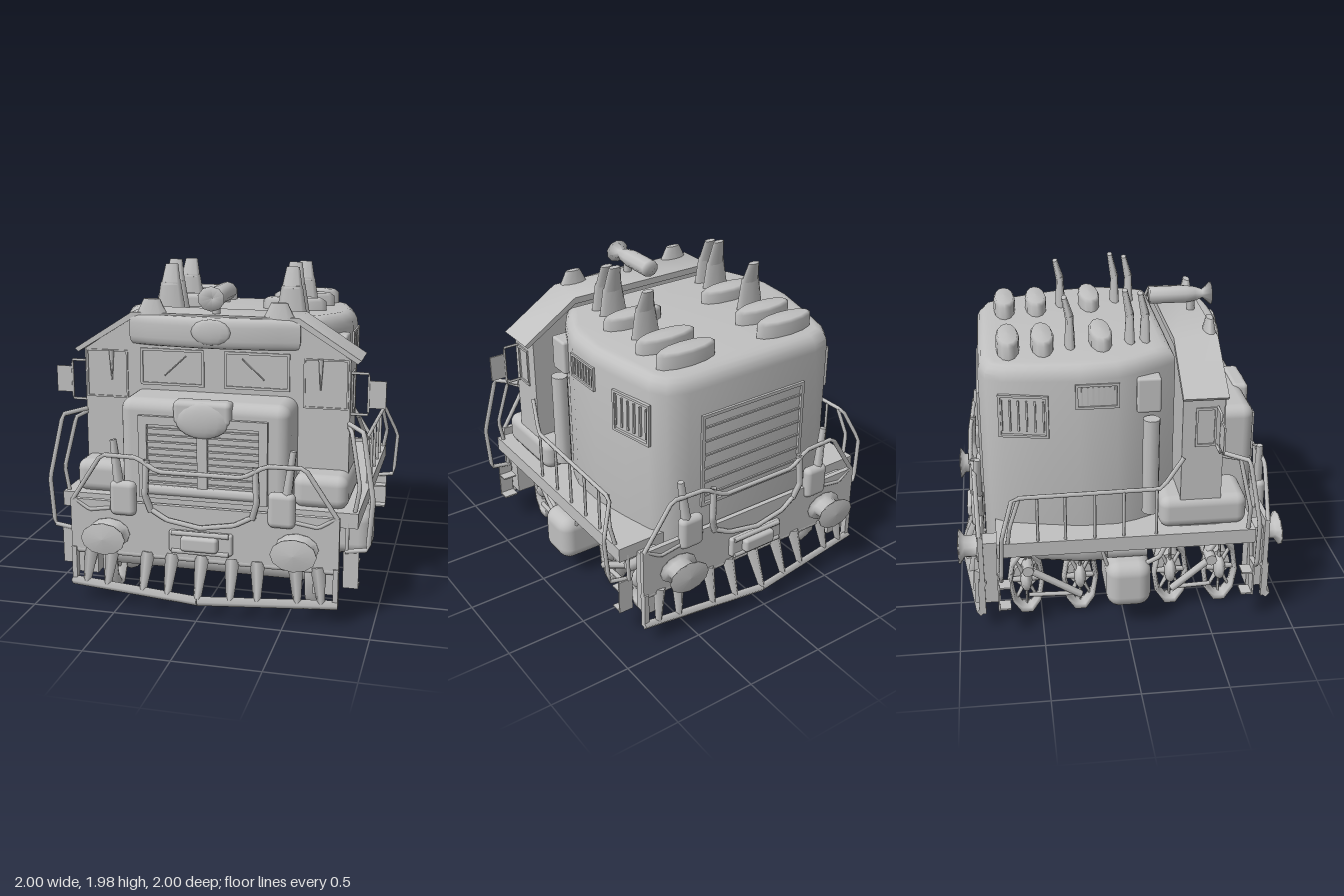
import * as THREE from 'three';
import { toCreasedNormals } from 'three/addons/utils/BufferGeometryUtils.js';
import { RoundedBoxGeometry } from 'three/addons/geometries/RoundedBoxGeometry.js';

const grey = new THREE.MeshStandardMaterial({ color: 0xc0c0c0, side: THREE.DoubleSide });
grey.name = 'plain grey';
const V = (x, y, z) => new THREE.Vector3(x, y, z);
const SIDES = [-1, 1];

function add(parent, name, geo, x = 0, y = 0, z = 0) {
  const m = new THREE.Mesh(geo, grey);
  m.name = name;
  m.position.set(x, y, z);
  parent.add(m);
  return m;
}
// boxes are given by their two extreme corners
function box(parent, name, a, b, round = 0) {
  const s = a.map((v, i) => Math.abs(b[i] - v)), c = a.map((v, i) => (v + b[i]) / 2);
  const geo = round ? new RoundedBoxGeometry(...s, 3, round) : new THREE.BoxGeometry(...s);
  return add(parent, name, geo, ...c);
}
// straight tapered bar between two points
function bar(parent, name, a, b, r1, r2 = r1, sides = 6) {
  const A = V(...a), B = V(...b), d = B.clone().sub(A);
  const m = add(parent, name, new THREE.CylinderGeometry(r2, r1, d.length(), sides));
  m.position.copy(A).add(B).multiplyScalar(0.5);
  m.quaternion.setFromUnitVectors(V(0, 1, 0), d.normalize());
  return m;
}
// bent rail through several points
function rail(parent, name, pts, r = 0.011) {
  const path = new THREE.CurvePath();
  for (let i = 1; i < pts.length; i++) path.add(new THREE.LineCurve3(V(...pts[i - 1]), V(...pts[i])));
  return add(parent, name, new THREE.TubeGeometry(path, (pts.length - 1) * 6, r, 6));
}
function extrude(pts, depth, opts = {}, hole) {
  const toV = p => p.map(q => new THREE.Vector2(...q));
  const s = new THREE.Shape(toV(pts));
  if (hole) s.holes.push(new THREE.Path(toV(hole)));
  return toCreasedNormals(new THREE.ExtrudeGeometry(s, { depth, bevelEnabled: false, ...opts }), 0.7);
}
const lathe = (pts, sides) => new THREE.LatheGeometry(pts.map(q => new THREE.Vector2(...q)), sides).rotateX(Math.PI / 2);
const rect = (x, y0, y1) => [[-x, y0], [x, y0], [x, y1], [-x, y1]];
const mirrored = half => [...half, ...half.slice().reverse().map(([x, y]) => [-x, y])];

function buildBody(g) {
  // barrel-sided engine house, plan drawn as (x, -z)
  const plan = mirrored([[0.53, -0.24], [0.57, -0.18], [0.63, -0.05], [0.66, 0.05], [0.66, 0.25], [0.61, 0.5], [0.57, 0.66], [0.53, 0.72], [0.44, 0.75]]);
  const geo = extrude(plan, 1.14, { bevelEnabled: true, bevelThickness: 0.09, bevelSize: 0.07, bevelSegments: 4 });
  geo.rotateX(-Math.PI / 2).translate(0, 0.47, 0);
  const p = geo.attributes.position;
  for (let i = 0; i < p.count; i++) if (p.getY(i) > 1) p.setY(i, p.getY(i) - 0.055 * (0.3 - p.getZ(i)) / 1.1);
  add(g, 'engineHouse', toCreasedNormals(geo, 0.7));

  // rear radiator panel
  add(g, 'rearPanelFrame', extrude(rect(0.37, 0.79, 1.39), 0.02, {}, rect(0.35, 0.81, 1.37)), 0, 0, -0.835);
  for (let i = 0; i < 6; i++) box(g, 'rearSlat', [-0.35, 0.85 + i * 0.09, -0.83], [0.35, 0.86 + i * 0.09, -0.815]);

  for (const s of SIDES) {
    // roof vents and bent exhaust stacks
    for (const [z, y] of [[-0.1, 1.7], [-0.44, 1.69], [-0.64, 1.69]]) {
      const profile = [[0.2, -0.06], [0.2, 0.035], [0.17, 0.055], [0.001, 0.06]];
      const v = add(g, 'roofVent', lathe(profile, 12).rotateX(-Math.PI / 2), s * 0.35, y, z);
      v.scale.z = 0.34;
    }
    for (const [z, top] of [[0.16, 1.98], [0.07, 2], [-0.28, 1.97]]) {
      const base = bar(g, 'stackBase', [s * 0.38, 1.65, z], [s * 0.38, 1.86, z], 0.1, 0.065, 8);
      base.scale.z = 0.33;
      const tip = bar(g, 'stackTip', [s * 0.38, 1.84, z], [s * 0.38, top - 0.01, z - 0.03], 0.065, 0.04, 8);
      tip.scale.z = 0.4;
    }
    // side grilles, equipment plate and upright pipe
    const grille = (name, z, y, w, h, x, turn, n) => {
      const q = new THREE.Group();
      q.name = name;
      q.position.set(s * x, y, z);
      q.rotation.y = s * (Math.PI / 2 + turn);
      add(q, 'grilleFrame', extrude(rect(w / 2, -h / 2, h / 2), 0.02, {}, rect(w / 2 - 0.015, 0.015 - h / 2, h / 2 - 0.015)));
      for (let i = 0; i < n; i++) box(q, 'grilleSlat', [(i + 0.7) * w / n - w / 2 - 0.02, -h * 0.36, 0], [(i + 0.7) * w / n - w / 2 - 0.01, h * 0.36, 0.015]);
      g.add(q);
    };
    grille('upperGrille', -0.155, 1.49, 0.25, 0.15, 0.72, 0, 8);
    grille('rearGrille', -0.57, 1.36, 0.29, 0.26, 0.662, 0.2, 6);
    box(g, 'equipmentBox', [s * 0.6, 1.37, 0.07], [s * 0.73, 1.58, 0.21], 0.015);
    add(g, 'uprightPipe', new THREE.CylinderGeometry(0.05, 0.05, 0.6, 10), s * 0.72, 1.03, 0.155);
  }
}

function buildCab(g) {
  const shell = mirrored([[0.8, 0.66], [0.8, 1.5], [0.5, 1.7]]);
  add(g, 'cab', extrude(shell, 0.24), 0, 0, 0.32);
  add(g, 'cabRoof', extrude([[0.86, 1.5], [0.5, 1.73], [-0.5, 1.73], [-0.86, 1.5], [-0.84, 1.48], [-0.5, 1.69], [0.5, 1.69], [0.84, 1.48]], 0.26), 0, 0, 0.31);

  // curved board above the windscreen
  const board = [[-0.48, -0.36], [0.48, -0.36]];
  for (let i = 0; i <= 10; i++) { const t = 1 - i / 5; board.push([t * 0.48, -0.61 + 0.06 * t * t]); }
  const bevel = { bevelEnabled: true, bevelThickness: 0.05, bevelSize: 0.03, bevelSegments: 3 };
  add(g, 'headBoard', extrude(board, 0.08, bevel).rotateX(-Math.PI / 2), 0, 1.59, 0);
  add(g, 'boardMedallion', new THREE.SphereGeometry(0.1, 12, 8), 0, 1.64, 0.635).scale.set(1.2, 0.75, 0.2);

  // horn on a short post
  bar(g, 'hornPost', [0, 1.7, 0.5], [0, 1.8, 0.5], 0.025);
  const horn = [[0.001, -0.24], [0.06, -0.24], [0.06, -0.02], [0.05, 0.04], [0.03, 0.09], [0.08, 0.14], [0.001, 0.11]];
  add(g, 'horn', lathe(horn, 10), 0, 1.83, 0.48).scale.y = 0.9;

  for (const s of SIDES) {
    add(g, 'roofLamp', new THREE.CylinderGeometry(0.05, 0.1, 0.1, 10), s * 0.38, 1.76, 0.54).scale.z = 0.4;
    // windows
    add(g, 'frontWindow', extrude(rect(0.195, 1.3, 1.52), 0.009, {}, rect(0.18, 1.315, 1.505)), s * 0.255, 0, 0.56);
    add(g, 'cornerWindow', extrude(rect(0.13, 1.21, 1.5), 0.008, {}, rect(0.12, 1.22, 1.49)), s * 0.66, 0, 0.56);
    bar(g, 'wiper', [s * 0.3, 1.36, 0.566], [s * 0.17, 1.48, 0.566], 0.004);
    bar(g, 'cornerWiper', [s * 0.63, 1.32, 0.566], [s * 0.63, 1.5, 0.566], 0.004, 0.016);
    const side = add(g, 'sideWindow', extrude(rect(0.06, 1.18, 1.42), 0.009, {}, rect(0.048, 1.195, 1.405)), s * 0.8, 0, 0.455);
    side.rotation.y = s * Math.PI / 2;
    // mirrors on arms
    rail(g, 'mirrorArm', [[s * 0.8, 1.42, 0.52], [s * 0.9, 1.42, 0.52], [s * 0.9, 1.18, 0.52], [s * 0.8, 1.18, 0.52]], 0.008);
    box(g, 'mirror', [s * 0.9, 1.22, 0.515], [s * 1, 1.38, 0.525]);
    // rounded lockers below the cab
    box(g, 'sideLocker', [s * 0.5, 0.65, 0.2], [s * 0.82, 0.85, 0.72], 0.06);
  }
}

function buildNose(g) {
  box(g, 'nose', [-0.5, 0.57, 0.4], [0.5, 1.27, 0.82], 0.07);
  box(g, 'noseSkirt', [-0.5, 0.38, 0.76], [0.5, 0.66, 0.82]);
  add(g, 'grilleSurround', extrude(rect(0.38, 0.69, 1.18), 0.035, {}, rect(0.33, 0.75, 1.13)), 0, 0, 0.81);
  for (let i = 0; i < 9; i++) box(g, 'noseSlat', [-0.33, 0.78 + i * 0.04, 0.81], [0.33, 0.79 + i * 0.04, 0.83]);
  box(g, 'grillePost', [-0.03, 0.74, 0.81], [0.03, 1.14, 0.845]);
  bar(g, 'grilleRoll', [-0.33, 0.74, 0.83], [0.33, 0.74, 0.83], 0.03);
  box(g, 'headlightHousing', [-0.17, 1.14, 0.75], [0.17, 1.28, 0.855], 0.03);
  add(g, 'headlight', new THREE.SphereGeometry(0.16, 14, 10), 0, 1.17, 0.84).scale.set(1, 0.66, 0.2);
}

// beam, buffers, guard and rails shared by both ends
function buildEnd(name) {
  const g = new THREE.Group();
  g.name = name;
  box(g, 'bufferBeam', [-0.8, 0.35, 0.84], [0.8, 0.66, 0.87]);
  box(g, 'couplerPlate', [-0.19, 0.39, 0.86], [0.19, 0.52, 0.9], 0.015);
  box(g, 'couplerBlock', [-0.11, 0.41, 0.88], [0.11, 0.5, 0.94], 0.02);
  for (const y of [0.4, 0.51]) bar(g, 'couplerRib', [-0.17, y, 0.9], [0.17, y, 0.9], 0.015);
  const guardZ = x => 0.97 - 0.1 * Math.abs(x) / 0.8;
  bar(g, 'guardTopRail', [-0.8, 0.34, 0.85], [0.8, 0.34, 0.85], 0.02);
  for (const x of [-0.68, -0.55, -0.33, -0.18, 0, 0.18, 0.33, 0.55, 0.68])
    bar(g, 'guardSlat', [x * 1.04, 0.14, guardZ(x)], [x, 0.36, 0.855], 0.022, 0.045, 4);
  rail(g, 'topRail', [[-0.79, 0.65, 0.86], [-0.6, 0.94, 0.87], [-0.38, 0.94, 0.88], [-0.25, 0.87, 0.9], [0.25, 0.87, 0.9], [0.38, 0.94, 0.88], [0.6, 0.94, 0.87], [0.79, 0.65, 0.86]], 0.014);
  rail(g, 'brakeHose', [[-0.32, 0.64, 0.87], [-0.2, 0.58, 0.89], [0, 0.55, 0.9], [0.2, 0.58, 0.89], [0.32, 0.64, 0.87]], 0.015);
  for (const s of SIDES) {
    const profile = [[0.001, 0], [0.09, 0], [0.09, 0.015], [0.06, 0.02], [0.06, 0.09], [0.095, 0.115], [0.095, 0.125], [0.001, 0.135]];
    add(g, 'buffer', lathe(profile, 12), s * 0.56, 0.465, 0.865).scale.x = 1.4;
    bar(g, 'guardBottomRail', [0, 0.13, 0.97], [s * 0.8, 0.145, 0.87], 0.028, 0.028, 4);
    box(g, 'guardEndPost', [s * 0.77, 0.13, 0.84], [s * 0.8, 0.36, 0.88]);
    box(g, 'guardBracket', [s * 0.65, 0.19, 0.75], [s * 0.77, 0.6, 0.84]);
    box(g, 'markerLamp', [s * 0.39, 0.58, 0.83], [s * 0.55, 0.79, 0.9], 0.035);
    bar(g, 'lampStalk', [s * 0.5, 0.78, 0.86], [s * 0.53, 1.03, 0.85], 0.03, 0.02);
    rail(g, 'innerRailPost', [[s * 0.3, 0.62, 0.87], [s * 0.33, 0.72, 0.89], [s * 0.32, 0.93, 0.88]], 0.02);
    rail(g, 'lampPipe', [[s * 0.55, 0.62, 0.87], [s * 0.68, 0.6, 0.87], [s * 0.78, 0.66, 0.86]], 0.012);
    // hanging steps
    box(g, 'stepBack', [s * 0.81, 0.21, 0.755], [s * 0.9, 0.43, 0.765]);
    bar(g, 'stepHanger', [s * 0.83, 0.42, 0.76], [s * 0.83, 0.6, 0.75], 0.012);
    for (const y of [0.215, 0.36]) box(g, 'stepTread', [s * 0.81, y, 0.69], [s * 0.9, y + 0.01, 0.765]);
  }
  return g;
}

function buildWheel(g, s, z) {
  const w = new THREE.Group();
  w.name = 'wheel';
  w.position.set(s * 0.625, 0.25, z);
  w.scale.z = 0.47;
  add(w, 'rim', new THREE.TorusGeometry(0.21, 0.035, 6, 10).rotateY(Math.PI / 2)).scale.x = 1.5;
  add(w, 'hub', new THREE.SphereGeometry(0.08, 10, 8));
  for (let i = 0; i < 8; i++) {
    const a = i * Math.PI / 4;
    bar(w, 'spoke', [0, 0, 0], [0, 0.2 * Math.cos(a), 0.2 * Math.sin(a)], 0.025, 0.015, 5);
  }
  g.add(w);
}

function buildChassis(g) {
  box(g, 'deck', [-0.89, 0.57, -0.76], [0.89, 0.66, 0.76]);
  for (const z of [0.61, 0.3, -0.26, -0.59]) {
    const axle = add(g, 'axle', new THREE.CylinderGeometry(0.085, 0.085, 1.2, 12).rotateZ(Math.PI / 2), 0, 0.26, z);
    axle.scale.z = 0.9;
    for (const s of SIDES) buildWheel(g, s, z);
  }
  for (const s of SIDES) {
    for (const [z0, z1] of [[0.54, 0.3], [-0.58, -0.26]]) {
      bar(g, 'driveRod', [s * 0.7, 0.36, z0], [s * 0.7, 0.16, z1], 0.025);
      bar(g, 'couplingRod', [s * 0.7, 0.18, z0], [s * 0.7, 0.17, z1], 0.015);
      bar(g, 'crankPin', [s * 0.62, 0.36, z0], [s * 0.73, 0.36, z0], 0.035, 0.035, 8);
    }
    box(g, 'fuelTank', [s * 0.5, 0.16, -0.12], [s * 0.9, 0.46, 0.15], 0.08);
    bar(g, 'airTank', [s * 0.76, 0.51, -0.11], [s * 0.76, 0.51, 0.13], 0.055, 0.055, 10);
    rail(g, 'tankPipe', [[s * 0.8, 0.58, 0.26], [s * 0.82, 0.47, 0.2], [s * 0.82, 0.42, 0.1]], 0.014);
    rail(g, 'tankStrut', [[s * 0.8, 0.56, -0.15], [s * 0.8, 0.42, -0.11]], 0.012);
    box(g, 'sandPipe', [s * 0.7, 0.5, 0.44], [s * 0.76, 0.58, 0.5]);
    // walkway handrails
    rail(g, 'walkwayRail', [[s * 0.82, 1.12, 0.33], [s * 0.86, 0.95, 0.2], [s * 0.88, 0.95, -0.66], [s * 0.97, 0.74, -0.73], [s * 0.95, 0.45, -0.74], [s * 0.83, 0.43, -0.75]], 0.013);
    rail(g, 'rearStepRail', [[s * 0.87, 0.95, -0.62], [s * 0.9, 0.78, -0.68], [s * 0.87, 0.62, -0.7]], 0.013);
    for (const z of [0.17, -0.02, -0.19, -0.36, -0.52]) bar(g, 'railPost', [s * 0.87, 0.64, z], [s * 0.87, 0.95, z], 0.009);
    rail(g, 'frontStepRail', [[s * 0.8, 1.13, 0.56], [s * 0.9, 1.12, 0.7], [s * 0.97, 0.74, 0.76], [s * 0.95, 0.45, 0.76], [s * 0.82, 0.43, 0.76]], 0.015);
    rail(g, 'frontInnerRail', [[s * 0.8, 1.11, 0.56], [s * 0.83, 1.1, 0.66], [s * 0.89, 0.8, 0.72], [s * 0.86, 0.62, 0.72]], 0.013);
  }
}

export function createModel() {
  const model = new THREE.Group();
  model.name = 'locomotive';
  for (const [name, build] of [['body', buildBody], ['cabin', buildCab], ['noseSection', buildNose], ['chassis', buildChassis]]) {
    const g = new THREE.Group();
    g.name = name;
    build(g);
    model.add(g);
  }
  const rear = buildEnd('rearEnd');
  rear.rotation.y = Math.PI;
  model.add(buildEnd('frontEnd'), rear);
  return model;
}
